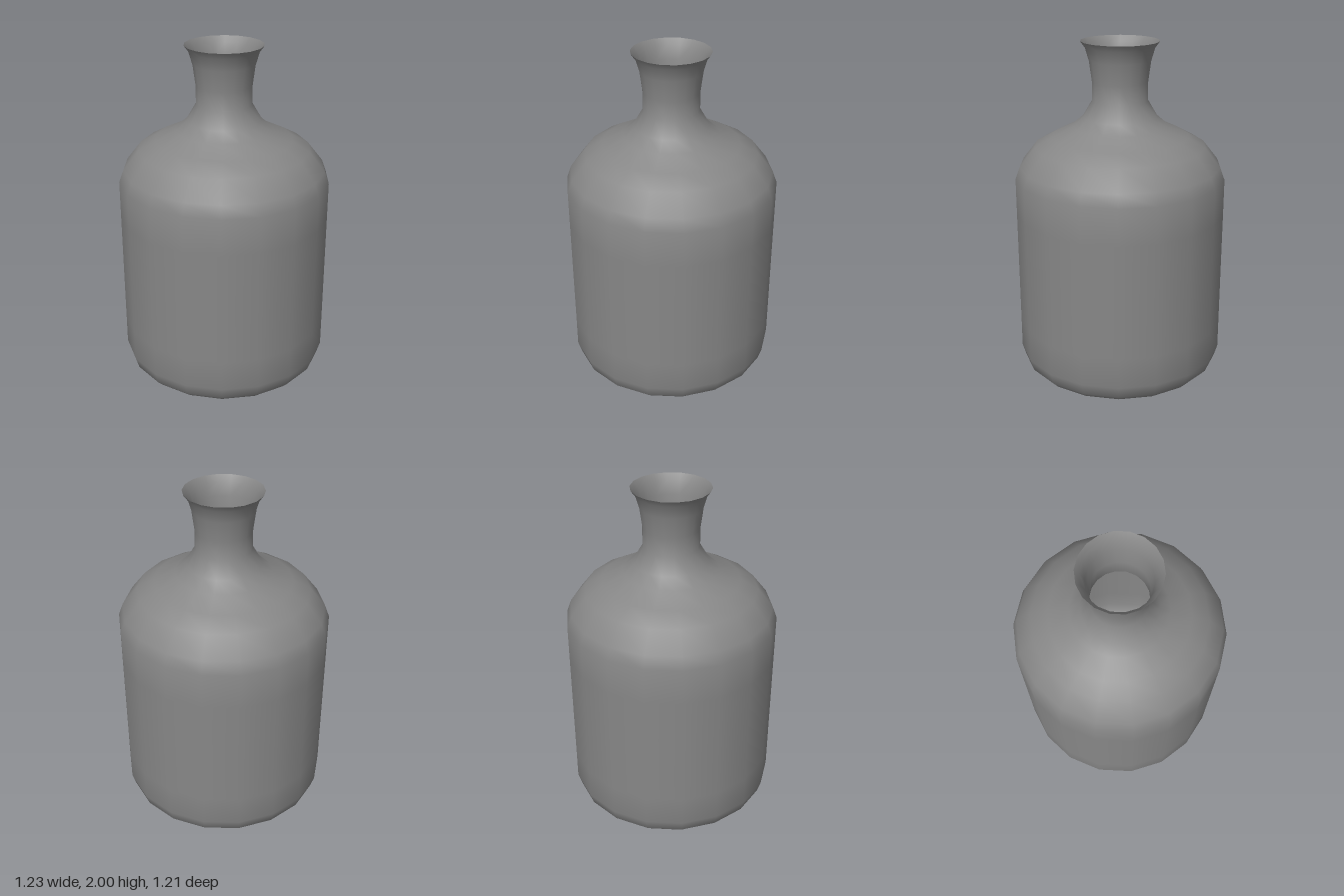
import * as THREE from 'three';

// Lathe whose normals average neighbouring bands equally, for a soft shoulder and foot
function softLathe(points, sides) {
  const geometry = new THREE.LatheGeometry(points, sides, Math.PI / 2);
  const bands = points.slice(1).map((p, j) =>
    new THREE.Vector2(p.y - points[j].y, points[j].x - p.x).normalize());
  const normals = points.map((p, j) =>
    bands[Math.max(j - 1, 0)].clone().add(bands[Math.min(j, bands.length - 1)]).normalize());
  normals[0].set(0, -1);
  for (let i = 0; i <= sides; i++) {
    const angle = Math.PI / 2 + (i / sides) * Math.PI * 2;
    normals.forEach((n, j) => geometry.attributes.normal.setXYZ(
      i * points.length + j, n.x * Math.sin(angle), n.y, n.x * Math.cos(angle)));
  }
  return geometry;
}

export function createModel() {
  const group = new THREE.Group();
  group.name = 'bottle';

  // Profile from the centre of the base up to the open lip: [radius, height]
  const profile = [
    [0, 0.02], [0.28, 0.014], [0.48, 0],                        // slightly hollow base
    [0.56, 0.03], [0.595, 0.065], [0.616, 0.135],               // rounded foot
    [0.616, 0.32], [0.616, 1], [0.616, 1.215],                  // straight wall
    [0.59, 1.285], [0.5, 1.4],                                  // shoulder
    [0.4, 1.455], [0.28, 1.513], [0.217, 1.567],                // sweep into the neck
    [0.162, 1.66], [0.162, 1.77], [0.178, 1.89], [0.2, 1.965], [0.226, 2], // flared neck
  ].map(([r, y]) => new THREE.Vector2(r, y));

  // Thin 18-sided shell, open at the mouth, with a corner on the x axis
  const shell = new THREE.Mesh(
    softLathe(profile, 18),
    new THREE.MeshStandardMaterial({ color: 0x878787, side: THREE.DoubleSide })
  );
  shell.name = 'bottleShell';
  group.add(shell);
  return group;
}
